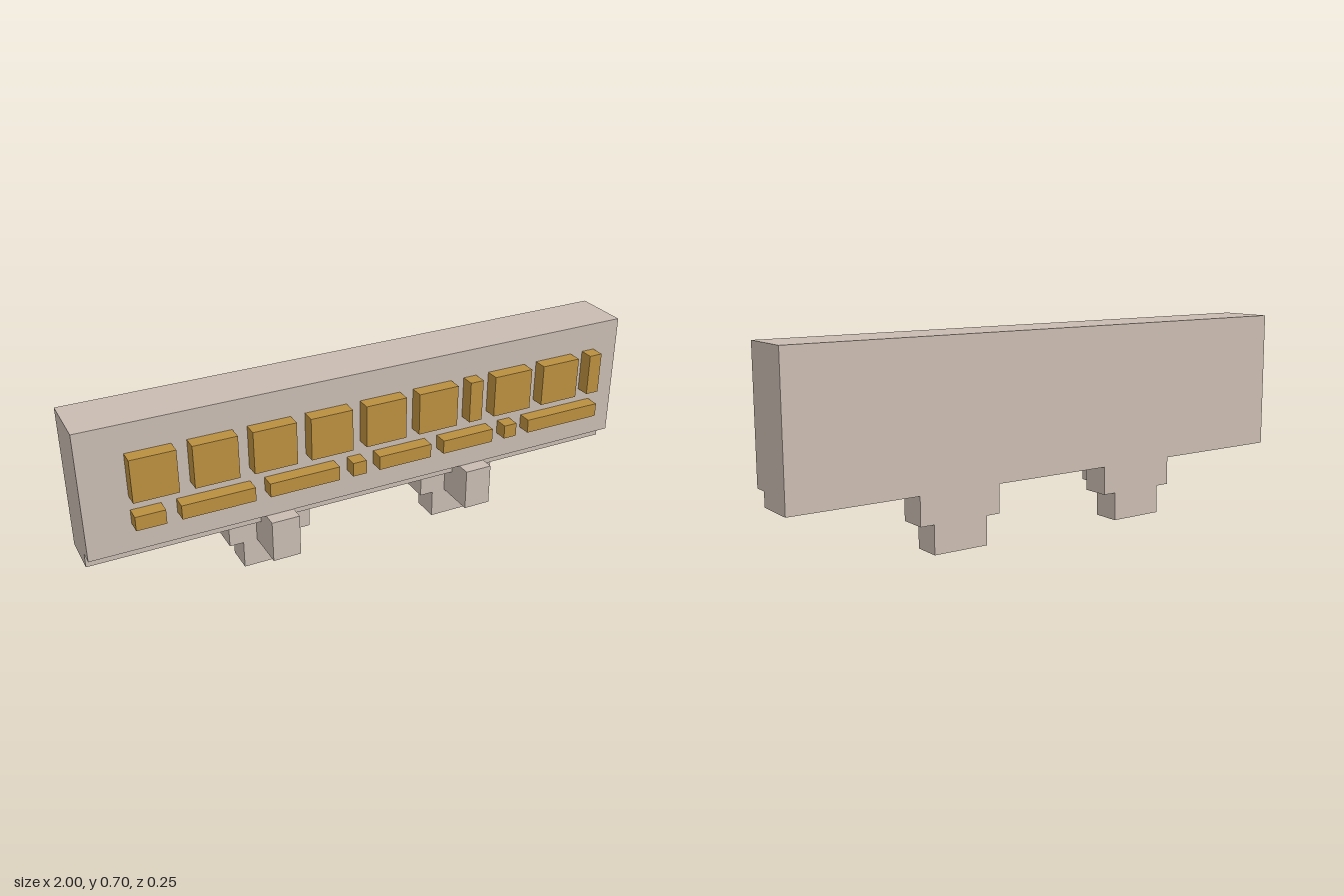
import * as THREE from 'three';

const stone = new THREE.MeshStandardMaterial({ color: 0xc9bcb1 });
stone.name = 'warm grey';
const gold = new THREE.MeshStandardMaterial({ color: 0xba8f3f });
gold.name = 'gold';

// Extrudes an outline given in the xy plane from z0 to z1
function frontExtrusion(name, points, z0, z1, material) {
  const shape = new THREE.Shape(points.map(([x, y]) => new THREE.Vector2(x, y)));
  const geometry = new THREE.ExtrudeGeometry(shape, { depth: z1 - z0, bevelEnabled: false });
  geometry.translate(0, 0, z0);
  const mesh = new THREE.Mesh(geometry, material);
  mesh.name = name;
  return mesh;
}

// Extrudes a side outline given as (z, y) pairs from x0 to x1
function sideExtrusion(name, points, x0, x1, material) {
  const mesh = frontExtrusion(name, points, 0, x1 - x0, material);
  mesh.geometry.rotateY(-Math.PI / 2).translate(x1, 0, 0);
  return mesh;
}

// Row of raised blocks on the front, each given by its left and right edge
function blockRow(name, spans, y0, y1) {
  const row = new THREE.Group();
  row.name = name;
  for (const [x0, x1] of spans) {
    const block = new THREE.Mesh(new THREE.BoxGeometry(x1 - x0, y1 - y0, 0.05), gold);
    block.position.set((x0 + x1) / 2, (y0 + y1) / 2, 0.1);
    block.name = 'raisedBlock';
    row.add(block);
  }
  return row;
}

// Stepped foot with a hook gripping the panel's lower front edge
function bracket(name, x) {
  const group = new THREE.Group();
  group.name = name;
  group.add(frontExtrusion('steppedFoot', [
    [-0.1, 0], [0.1, 0], [0.1, 0.1], [0.15, 0.1],
    [0.15, 0.2], [-0.15, 0.2], [-0.15, 0.1], [-0.1, 0.1],
  ], -0.125, -0.025, stone));
  group.add(sideExtrusion('frontHook', [
    [-0.025, 0.1], [0.125, 0.1], [0.125, 0.25], [0.025, 0.25],
    [0.025, 0.2], [-0.025, 0.2],
  ], -0.05, 0.05, stone));
  group.position.x = x;
  return group;
}

export function createModel() {
  const model = new THREE.Group();
  model.name = 'signPanel';

  // Panel with a step along the bottom of its front
  model.add(sideExtrusion('panel', [
    [-0.125, 0.2], [0.025, 0.2], [0.025, 0.25],
    [0.075, 0.25], [0.075, 0.7], [-0.125, 0.7],
  ], -1, 1, stone));

  model.add(bracket('rightBracket', -0.35), bracket('leftBracket', 0.4));

  model.add(blockRow('upperBlocks', [
    [-0.85, -0.7], [-0.65, -0.5], [-0.45, -0.3], [-0.25, -0.1], [-0.05, 0.1],
    [0.15, 0.3], [0.35, 0.4], [0.45, 0.6], [0.65, 0.8], [0.85, 0.9],
  ], 0.45, 0.6));
  model.add(blockRow('lowerBlocks', [
    [-0.85, -0.75], [-0.7, -0.45], [-0.4, -0.15], [-0.1, -0.05],
    [0, 0.2], [0.25, 0.45], [0.5, 0.55], [0.6, 0.9],
  ], 0.35, 0.4));

  return model;
}
